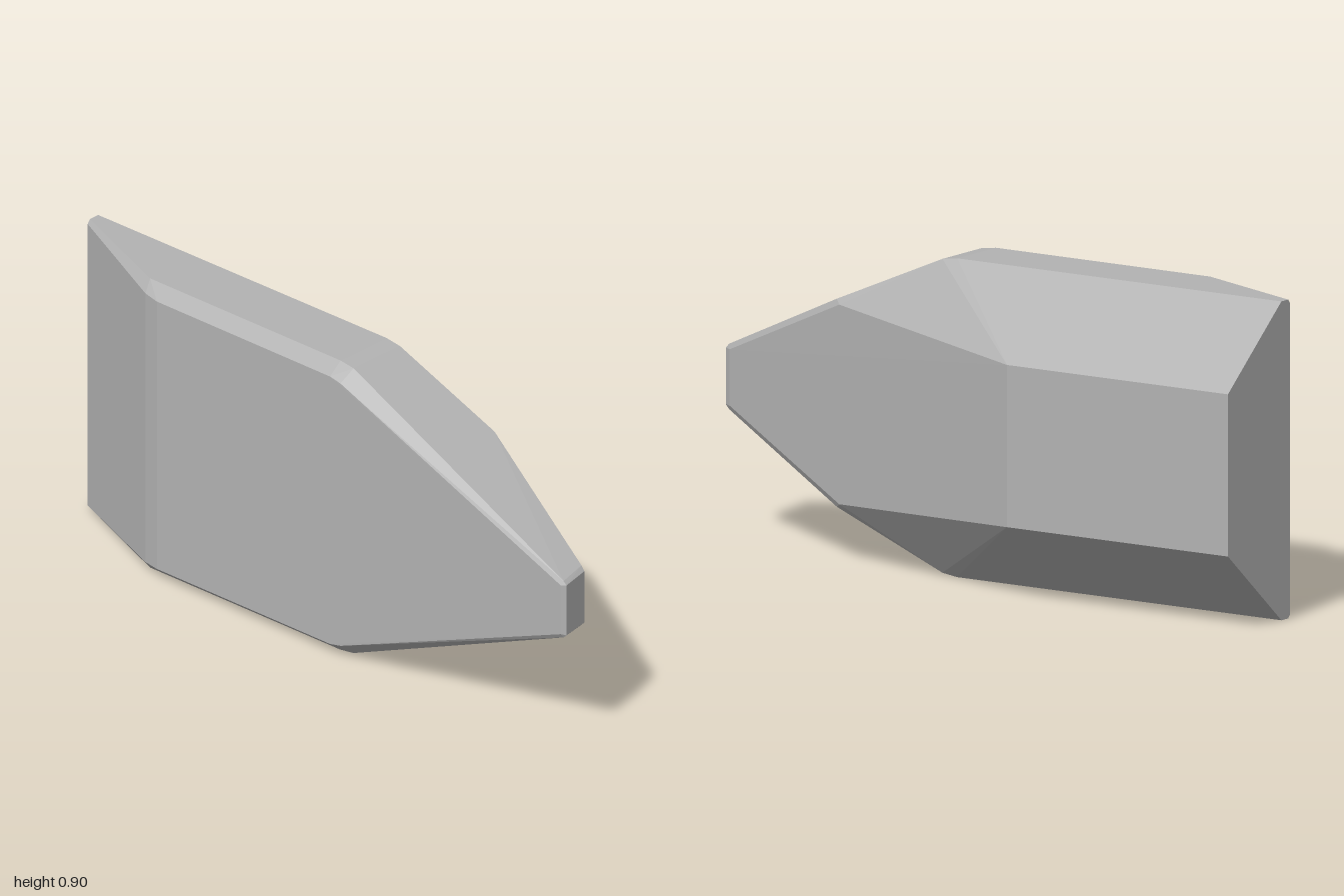
import * as THREE from 'three';
import { ConvexGeometry } from 'three/addons/geometries/ConvexGeometry.js';

export function createModel() {
  const grey = new THREE.MeshStandardMaterial({ color: 0xb2b2b2 });
  grey.name = 'plainGrey';

  // Corners of the upper half: x, height above the mid plane, z
  const mid = 0.452;
  const corners = [
    // blunt end
    [-1, 0.23, -0.248], [-1, 0.452, 0.012], [-1, 0.452, 0.045], [-1, 0.44, 0.055],
    // rear ridge where the back starts to slope
    [-0.25, 0.23, -0.248],
    // flat top edge, slightly rounded at the shoulder
    [0.1, 0.452, 0.012], [0.1, 0.452, 0.2], [0.15, 0.445, 0.012], [0.15, 0.445, 0.2],
    // ramp up to the front face
    [-0.63, 0.452, 0.196], [-0.62, 0.42, 0.226], [-0.565, 0.418, 0.238],
    // front face shoulder
    [0.1, 0.418, 0.243], [0.14, 0.41, 0.243],
    // bevel along the sloping back
    [0.5, 0.295, 0], [0.48, 0.283, -0.017],
    // narrow tip
    [0.965, 0.093, 0.143], [0.955, 0.08, 0.131], [0.978, 0.08, 0.145],
    [0.988, 0.088, 0.24], [0.999, 0.078, 0.24], [0.985, 0.076, 0.248],
  ];

  // Mirror across the mid plane and wrap in a faceted hull
  const points = [];
  for (const [x, h, z] of corners) {
    for (const side of [1, -1]) points.push(new THREE.Vector3(x, mid + side * h, z));
  }
  const body = new THREE.Mesh(new ConvexGeometry(points), grey);
  body.name = 'facetedBody';

  const group = new THREE.Group();
  group.name = 'taperedBlock';
  group.add(body);
  return group;
}
